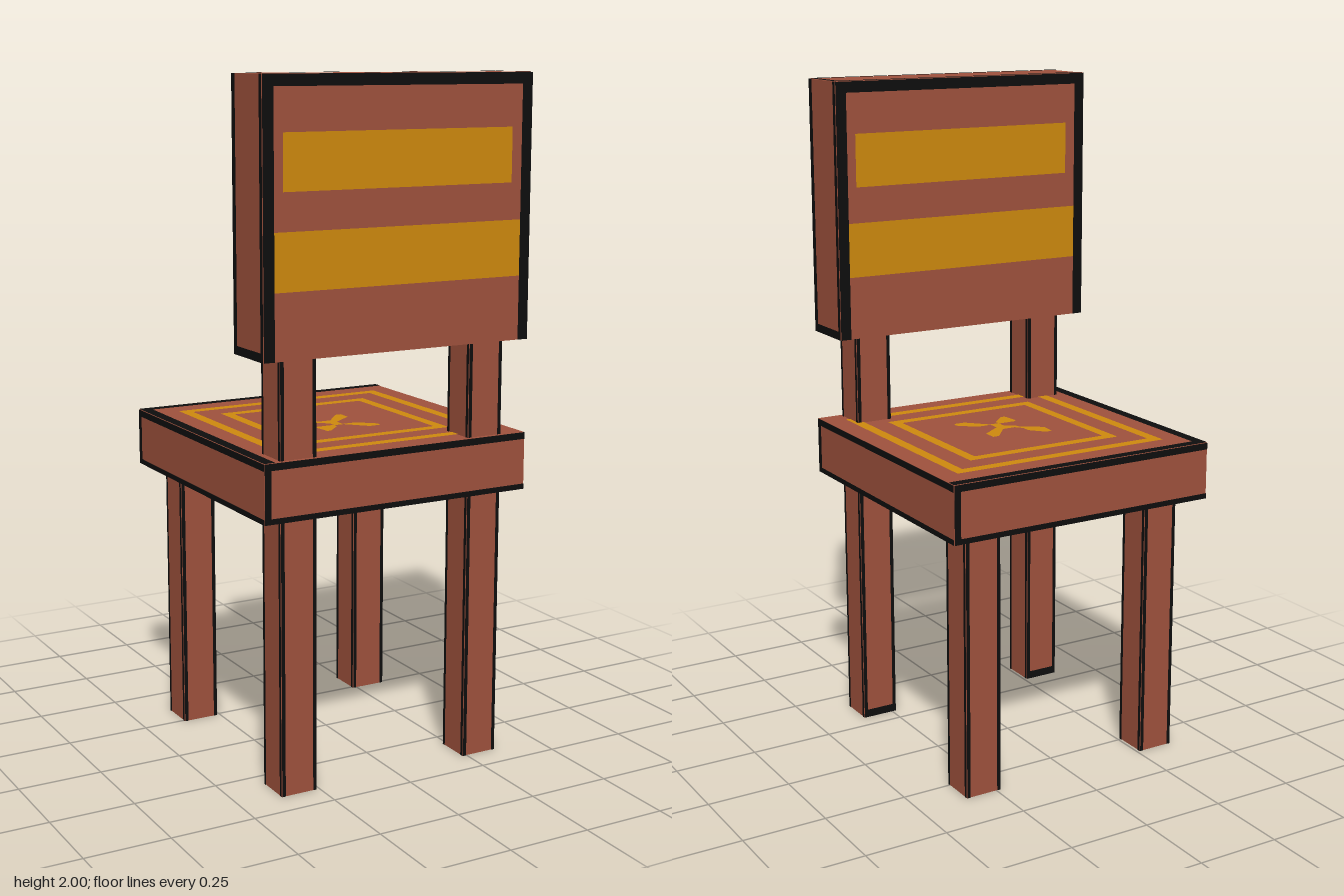
import * as THREE from 'three';

const material = (name, color) => {
  const m = new THREE.MeshStandardMaterial({ color });
  m.name = name;
  return m;
};

// Rotation that turns a plate (facing +z) onto each side of a box
const TURN = {
  front: [0, 0], right: [0, Math.PI / 2], back: [0, Math.PI], left: [0, -Math.PI / 2],
  top: [-Math.PI / 2, 0], bottom: [Math.PI / 2, 0],
};
const SIDES = ['front', 'right', 'back', 'left'];

export function createModel() {
  const wood = material('sienna wood', 0xa0523d);
  const gold = material('gold paint', 0xcf8a0e);
  const black = material('black edging', 0x0e0e0e);
  const model = new THREE.Group();
  model.name = 'chair';

  // A wooden block given by its extents
  function block(name, [x0, x1], [y0, y1], [z0, z1]) {
    const part = new THREE.Group();
    part.name = name;
    part.position.set((x0 + x1) / 2, (y0 + y1) / 2, (z0 + z1) / 2);
    const size = [x1 - x0, y1 - y0, z1 - z0];
    part.userData.size = size;
    const body = new THREE.Mesh(new THREE.BoxGeometry(...size), wood);
    body.name = name + 'Body';
    part.add(body);
    model.add(part);
    return part;
  }

  // Width, height and distance of one face of a block
  function faceSize(part, face) {
    const [w, h, d] = part.userData.size;
    if (face === 'top' || face === 'bottom') return [w, d, h / 2];
    return face === 'front' || face === 'back' ? [w, h, d / 2] : [d, h, w / 2];
  }

  // Lay a flat painted geometry on a face
  function paint(part, face, name, geometry, mat) {
    geometry.translate(0, 0, faceSize(part, face)[2] + 0.0015);
    const mesh = new THREE.Mesh(geometry, mat);
    mesh.name = name;
    mesh.rotation.set(TURN[face][0], TURN[face][1], 0);
    part.add(mesh);
  }

  function rect(part, face, name, mat, u0, u1, v0, v1) {
    const g = new THREE.PlaneGeometry(u1 - u0, v1 - v0);
    g.translate((u0 + u1) / 2, (v0 + v1) / 2, 0);
    paint(part, face, name, g, mat);
  }

  // Black edging along the chosen edges of a face, widths in face directions
  function edging(part, face, { l = 0, r = 0, t = 0, b = 0 }) {
    const [w, h] = faceSize(part, face);
    const x = w / 2, y = h / 2;
    if (l) rect(part, face, 'edging', black, -x, -x + l, -y, y);
    if (r) rect(part, face, 'edging', black, x - r, x, -y, y);
    if (t) rect(part, face, 'edging', black, -x + l, x - r, y - t, y);
    if (b) rect(part, face, 'edging', black, -x + l, x - r, -y, -y + b);
  }

  // Square painted frame
  function frame(part, face, centre, half, width) {
    const square = (target, s) => {
      const [cx, cy] = centre;
      target.moveTo(cx - s, cy - s);
      target.lineTo(cx + s, cy - s);
      target.lineTo(cx + s, cy + s);
      target.lineTo(cx - s, cy + s);
      target.closePath();
      return target;
    };
    const shape = square(new THREE.Shape(), half);
    shape.holes.push(square(new THREE.Path(), half - width));
    paint(part, face, 'goldFrame', new THREE.ShapeGeometry(shape), gold);
  }

  // Legs; the pair at +z runs up through the seat to carry the backrest
  for (const [side, xs] of [['right', [-0.37, -0.26]], ['left', [0.237, 0.348]]]) {
    for (const [kind, ys, zs] of [['Post', [0, 1.26], [0.305, 0.412]], ['Leg', [0, 0.82], [-0.35, -0.242]]]) {
      const leg = block(side + kind, xs, ys, zs);
      for (const face of SIDES) {
        edging(leg, face, { l: 0.011, r: 0.011, b: kind === 'Post' && face === 'back' ? 0.025 : 0 });
      }
    }
  }

  // Seat
  const seat = block('seat', [-0.425, 0.425], [0.8, 0.97], [-0.425, 0.425]);
  for (const face of SIDES) edging(seat, face, { l: 0.02, t: 0.02, b: 0.016 });

  // Crossed motif at the middle of the seat, as (x, z) points
  const motif = [
    [-0.11, -0.05], [-0.105, -0.08], [-0.085, -0.08], [-0.05, -0.038], [-0.05, 0.013], [0.008, 0.013],
    [0.06, -0.05], [0.08, -0.05], [0.08, -0.008], [0.015, 0.04], [0.015, 0.075], [0.06, 0.075],
    [0.11, 0.12], [0.105, 0.14], [0.07, 0.14], [0.015, 0.08], [-0.015, 0.08], [-0.015, 0.095],
    [-0.06, 0.14], [-0.073, 0.14], [-0.08, 0.085], [-0.07, 0.075], [-0.015, 0.075], [-0.015, 0.05],
    [-0.045, 0.03], [-0.05, 0.012], [-0.08, -0.005], [-0.11, -0.03],
  ].map(([x, z]) => new THREE.Vector2(x, -z));
  for (const face of ['top', 'bottom']) {
    edging(seat, face, { l: 0.033, t: 0.03 });
    frame(seat, face, [0.015, -0.014], 0.347, 0.033);
    frame(seat, face, [0.015, -0.014], 0.251, 0.032);
    paint(seat, face, 'goldMotif', new THREE.ShapeGeometry(new THREE.Shape(motif)), gold);
  }

  // Backrest with two gold bands on both broad faces
  const back = block('backrest', [-0.425, 0.425], [1.245, 2], [0.25, 0.425]);
  const mid = back.position.y;
  for (const face of ['front', 'back']) {
    edging(back, face, { l: 0.033, r: 0.033, t: 0.032 });
    rect(back, face, 'upperBand', gold, -0.365, 0.36, 1.695 - mid, 1.85 - mid);
    rect(back, face, 'lowerBand', gold, -0.392, 0.392, 1.43 - mid, 1.59 - mid);
  }
  for (const face of ['left', 'right']) edging(back, face, { l: 0.02, r: 0.015, b: 0.025 });
  edging(back, 'top', { r: 0.018, t: 0.021, b: 0.021 });
  edging(back, 'bottom', { l: 0.03, r: 0.03, t: 0.03, b: 0.03 });

  return model;
}
